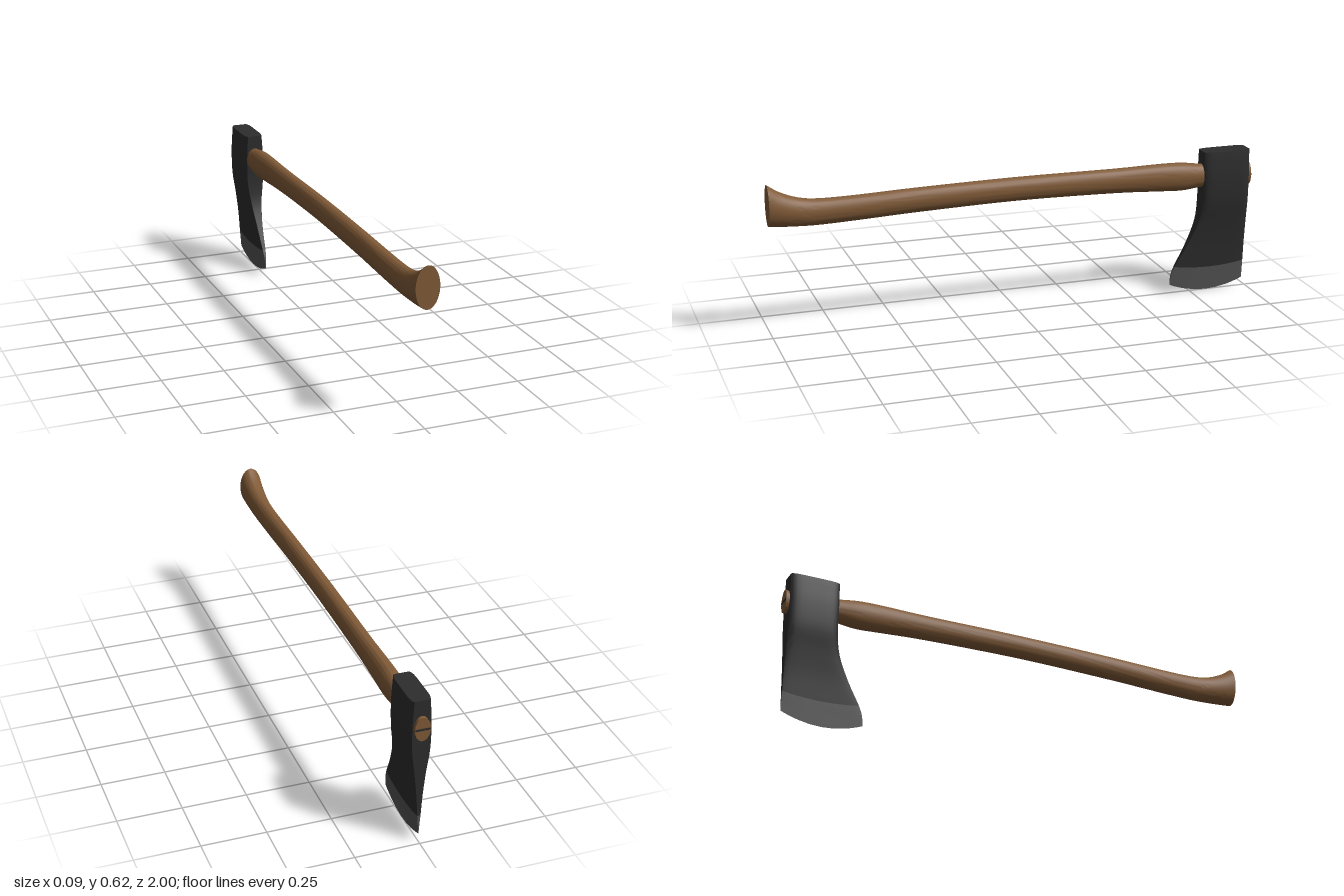
import * as THREE from 'three';
import { mergeVertices, toCreasedNormals } from 'three/addons/utils/BufferGeometryUtils.js';

// Skin a list of rings (counterclockwise about the loft direction), with optional flat caps
function loft(rings, capStart, capEnd) {
  const pos = [];
  const tri = (a, b, c) => pos.push(...a.toArray(), ...b.toArray(), ...c.toArray());
  const n = rings[0].length;
  for (let i = 0; i < rings.length - 1; i++) {
    for (let j = 0; j < n; j++) {
      const k = (j + 1) % n;
      tri(rings[i][j], rings[i][k], rings[i + 1][k]);
      tri(rings[i][j], rings[i + 1][k], rings[i + 1][j]);
    }
  }
  const cap = (ring, flip) => {
    const mid = ring.reduce((s, p) => s.add(p), new THREE.Vector3()).divideScalar(n);
    ring.forEach((p, j) => {
      const q = ring[(j + 1) % n];
      if (flip) tri(mid, q, p); else tri(mid, p, q);
    });
  };
  if (capStart) cap(rings[0], true);
  if (capEnd) cap(rings[rings.length - 1], false);
  const geo = new THREE.BufferGeometry();
  geo.setAttribute('position', new THREE.Float32BufferAttribute(pos, 3));
  return toCreasedNormals(mergeVertices(geo), 0.6);
}

// Smoothly resample rows of numbers, keeping every original row
function resample(rows, steps) {
  const curve = (f) => new THREE.CatmullRomCurve3(rows.map(f), false, 'catmullrom', 0.5);
  const a = curve((r) => new THREE.Vector3(r[0], r[1], r[2]));
  const b = curve((r) => new THREE.Vector3(r[3], r[4] ?? 0, 0));
  const count = (rows.length - 1) * steps;
  return Array.from({ length: count + 1 }, (_, i) => {
    const p = a.getPoint(i / count), q = b.getPoint(i / count);
    return [p.x, p.y, p.z, q.x, q.y];
  });
}

export function createModel() {
  const wood = new THREE.MeshStandardMaterial({ color: 0x805a37 });
  wood.name = 'wood';
  const darkSteel = new THREE.MeshStandardMaterial({ color: 0x2d2d2d });
  darkSteel.name = 'dark steel';
  const groundSteel = new THREE.MeshStandardMaterial({ color: 0x555555 });
  groundSteel.name = 'ground steel';

  const group = new THREE.Group();
  group.name = 'axe';
  const add = (name, geo, mat) => {
    const mesh = new THREE.Mesh(geo, mat);
    mesh.name = name;
    group.add(mesh);
    return mesh;
  };

  // Handle: oval sections as z, bottom y, top y, half width
  const handleRows = [
    [-0.998, 0.441, 0.537, 0.03],
    [-0.9, 0.445, 0.54, 0.031],
    [-0.79, 0.449, 0.545, 0.035],
    [-0.7, 0.441, 0.557, 0.04],
    [-0.6, 0.446, 0.56, 0.038],
    [-0.4, 0.457, 0.558, 0.035],
    [0, 0.465, 0.561, 0.035],
    [0.4, 0.458, 0.556, 0.035],
    [0.65, 0.449, 0.549, 0.036],
    [0.8, 0.445, 0.549, 0.037],
    [0.88, 0.447, 0.56, 0.04],
    [0.95, 0.451, 0.587, 0.044],
    [1, 0.455, 0.62, 0.047],
  ];
  const handleRings = resample(handleRows, 4).map(([z, bottom, top, w]) =>
    Array.from({ length: 40 }, (_, j) => {
      const t = (j / 40) * Math.PI * 2;
      return new THREE.Vector3(
        w * Math.cos(t), (bottom + top) / 2 + ((top - bottom) / 2) * Math.sin(t), z);
    }));
  add('handle', loft(handleRings, true, true), wood);

  // Wedge driven into the end of the handle
  add('wedge', new THREE.BoxGeometry(0.056, 0.008, 0.02), darkSteel).position.set(0, 0.489, -0.99);

  // Head: sections as y, upward curl at the ends, half width, back z, front z
  const headRows = [
    [0, 0.035, 0.0007, -0.985, -0.66],
    [0.05, 0.024, 0.0045, -0.985, -0.664],
    [0.1, 0.013, 0.0085, -0.985, -0.679],
    [0.2, 0.003, 0.0165, -0.985, -0.729],
    [0.3, 0, 0.03, -0.985, -0.772],
    [0.39, 0, 0.0445, -0.985, -0.787],
    [0.49, 0, 0.047, -0.985, -0.787],
    [0.57, 0, 0.042, -0.985, -0.787],
    [0.6, 0, 0.039, -0.985, -0.787],
  ];
  // Across each section: position from back to front, share of the full width
  const across = [[0, 0.74], [0.025, 0.84], [0.07, 0.92], [0.13, 0.97], [0.22, 1], [0.36, 1], [0.5, 1]];
  const half = [...across, ...across.slice(0, -1).reverse().map(([u, f]) => [1 - u, f])];
  const headRings = resample(headRows, 4).map(([y, curl, w, back, front]) => {
    const point = (side) => ([u, f]) => new THREE.Vector3(
      side * w * f, y + curl * (2 * u - 1) ** 2, back + (front - back) * u);
    return [...half.slice().reverse().map(point(1)), ...half.map(point(-1))];
  });
  const bevelEnd = 8; // ring where the ground edge meets the body
  add('cuttingEdge', loft(headRings.slice(0, bevelEnd + 1), false, false), groundSteel);
  add('headBody', loft(headRings.slice(bevelEnd), false, true), darkSteel);

  return group;
}
